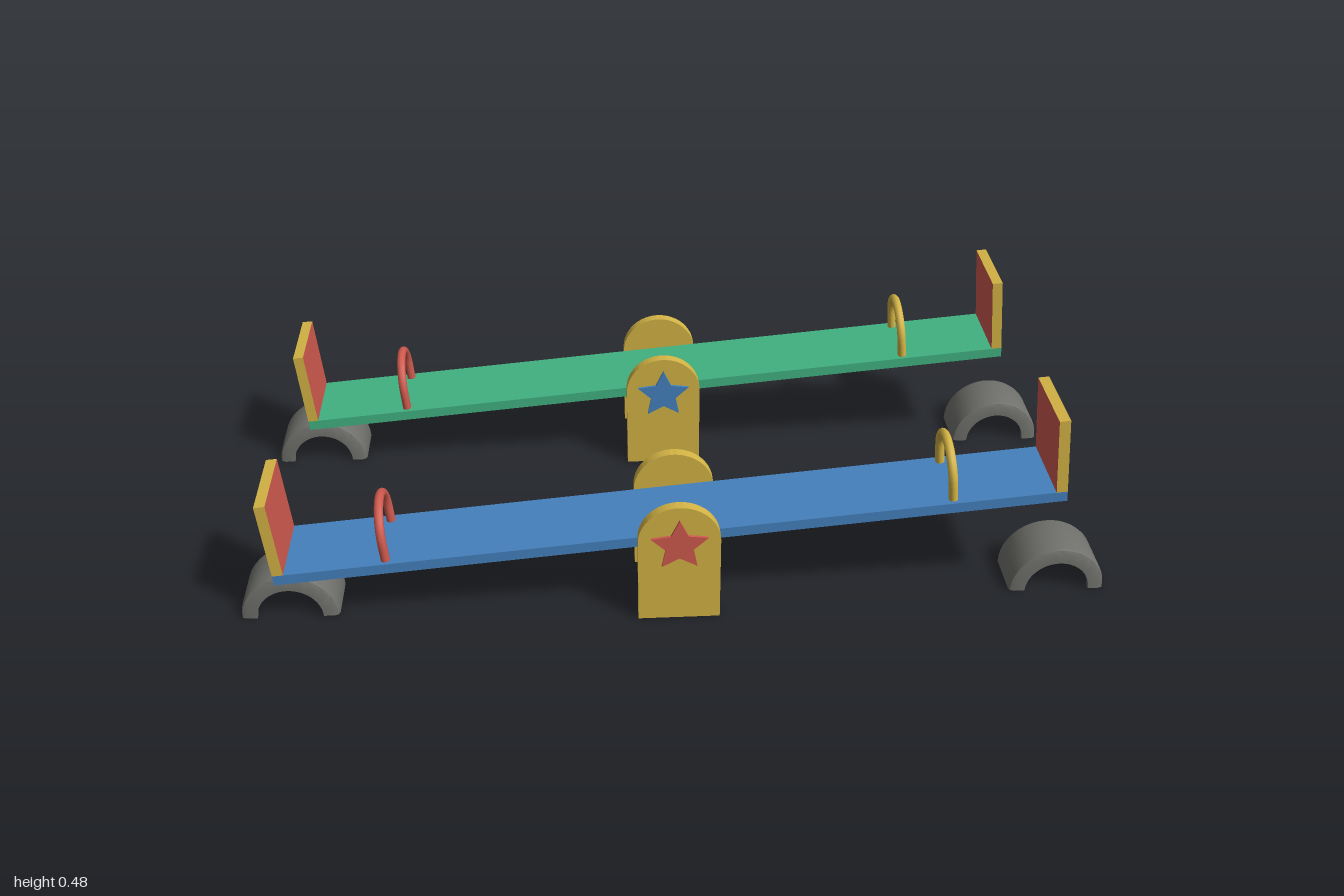
import * as THREE from 'three';
import { toCreasedNormals } from 'three/addons/utils/BufferGeometryUtils.js';

const paint = (name, color, side = THREE.FrontSide) => {
  const m = new THREE.MeshStandardMaterial({ color, side });
  m.name = name;
  return m;
};

function part(parent, name, geometry, material, x = 0, y = 0, z = 0) {
  const mesh = new THREE.Mesh(geometry, material);
  mesh.name = name;
  mesh.position.set(x, y, z);
  parent.add(mesh);
  return mesh;
}

// Plate with a round top, standing on y = 0, centred in depth
function supportGeometry(radius, height, depth) {
  const s = new THREE.Shape();
  s.moveTo(-radius, 0);
  s.lineTo(radius, 0);
  s.lineTo(radius, height - radius);
  s.absarc(0, height - radius, radius, 0, Math.PI, false);
  s.closePath();
  const g = new THREE.ExtrudeGeometry(s, { depth, bevelEnabled: false, curveSegments: 24 });
  g.translate(0, 0, -depth / 2);
  return toCreasedNormals(g, 0.5);
}

function starGeometry(outer, inner, depth) {
  const points = [];
  for (let i = 0; i < 10; i++) {
    const a = Math.PI / 2 + (i * Math.PI) / 5;
    const r = i % 2 ? inner : outer;
    points.push(new THREE.Vector2(r * Math.cos(a), r * Math.sin(a)));
  }
  const g = new THREE.ExtrudeGeometry(new THREE.Shape(points), { depth, bevelEnabled: false });
  return g.translate(0, 0, -depth / 2);
}

// Arched grip: two short legs joined by a half circle
function handleGeometry() {
  const r = 0.077, leg = 0.038, path = new THREE.CurvePath();
  const arc = [];
  for (let i = 0; i <= 16; i++) {
    const a = Math.PI - (i * Math.PI) / 16;
    arc.push(new THREE.Vector3(0, leg + r * Math.sin(a), r * Math.cos(a)));
  }
  path.add(new THREE.LineCurve3(new THREE.Vector3(0, 0, -r), arc[0]));
  path.add(new THREE.CatmullRomCurve3(arc));
  path.add(new THREE.LineCurve3(arc[16], new THREE.Vector3(0, 0, r)));
  return new THREE.TubeGeometry(path, 40, 0.0105, 10);
}

// Half tyre: hollow U-shaped section swept over the ground
function buildTyre(material) {
  const half = [[0.075, 0.065], [0.1, 0.065], [0.109, 0.061], [0.112, 0.052]];
  const hollow = [[0.1, 0.053], [0.075, 0.053]];
  const flip = (list) => list.map(([r, w]) => [r, -w]).reverse();
  const section = [...flip(half).reverse(), ...flip(flip(half).reverse()).map(([r, w]) => [r, w]),
    ...hollow.slice().reverse(), ...flip(hollow)].map(([r, w]) => new THREE.Vector2(r, w));
  const group = new THREE.Group();
  const sweep = new THREE.LatheGeometry([...section, section[0].clone()], 28, 0, Math.PI);
  sweep.rotateZ(Math.PI / 2).rotateY(Math.PI / 2);
  part(group, 'tyreBody', toCreasedNormals(sweep, 0.6), material);
  const cap = new THREE.ShapeGeometry(new THREE.Shape(section)).rotateX(Math.PI / 2);
  part(group, 'tyreEnd', cap, material);
  part(group, 'tyreEnd', cap, material).rotation.y = Math.PI;
  return group;
}

export function createModel() {
  const yellow = paint('yellow', 0xd4b445);
  const red = paint('red', 0xd05a4e);
  const blue = paint('blue', 0x4682c0);
  const green = paint('green', 0x42b483);
  const rubber = paint('rubber', 0x70706c, THREE.DoubleSide);

  const plankGeo = new THREE.BoxGeometry(1.787, 0.025, 0.19);
  const restGeo = new THREE.BoxGeometry(0.025, 0.188, 0.19);
  const supportGeo = supportGeometry(0.093, 0.304, 0.024);
  const starGeo = starGeometry(0.068, 0.033, 0.006);
  const handleGeo = handleGeometry();

  function buildSeesaw(name, plankPaint, starPaint, z) {
    const seesaw = new THREE.Group();
    seesaw.name = name;
    seesaw.position.z = z;

    // Tilted board with backrests and handles
    const board = new THREE.Group();
    board.name = 'tiltingBoard';
    board.position.set(-0.019, 0.205, 0);
    board.rotation.z = 0.0892;
    seesaw.add(board);
    part(board, 'plank', plankGeo, plankPaint);
    for (const s of [-1, 1]) {
      // Only the face towards the rider is red
      const faces = Array(6).fill(yellow);
      faces[s < 0 ? 0 : 1] = red;
      part(board, 'backrest', restGeo, faces, s * 0.881, 0.1065);
      part(board, 'handle', handleGeo, s < 0 ? red : yellow, s * 0.64, 0.0125);
    }

    // Side supports with stars, and half tyres under both ends
    for (const s of [-1, 1]) {
      part(seesaw, 'support', supportGeo, yellow, 0, 0, s * 0.107);
      part(seesaw, 'star', starGeo, starPaint, 0, 0.204, s * 0.122);
      const tyre = buildTyre(rubber);
      tyre.name = 'halfTyre';
      tyre.position.set(s * 0.888, 0, 0.003);
      seesaw.add(tyre);
    }
    return seesaw;
  }

  const model = new THREE.Group();
  model.name = 'doubleSeesaw';
  model.add(buildSeesaw('frontSeesaw', blue, red, 0.325));
  model.add(buildSeesaw('backSeesaw', green, blue, -0.325));
  return model;
}
